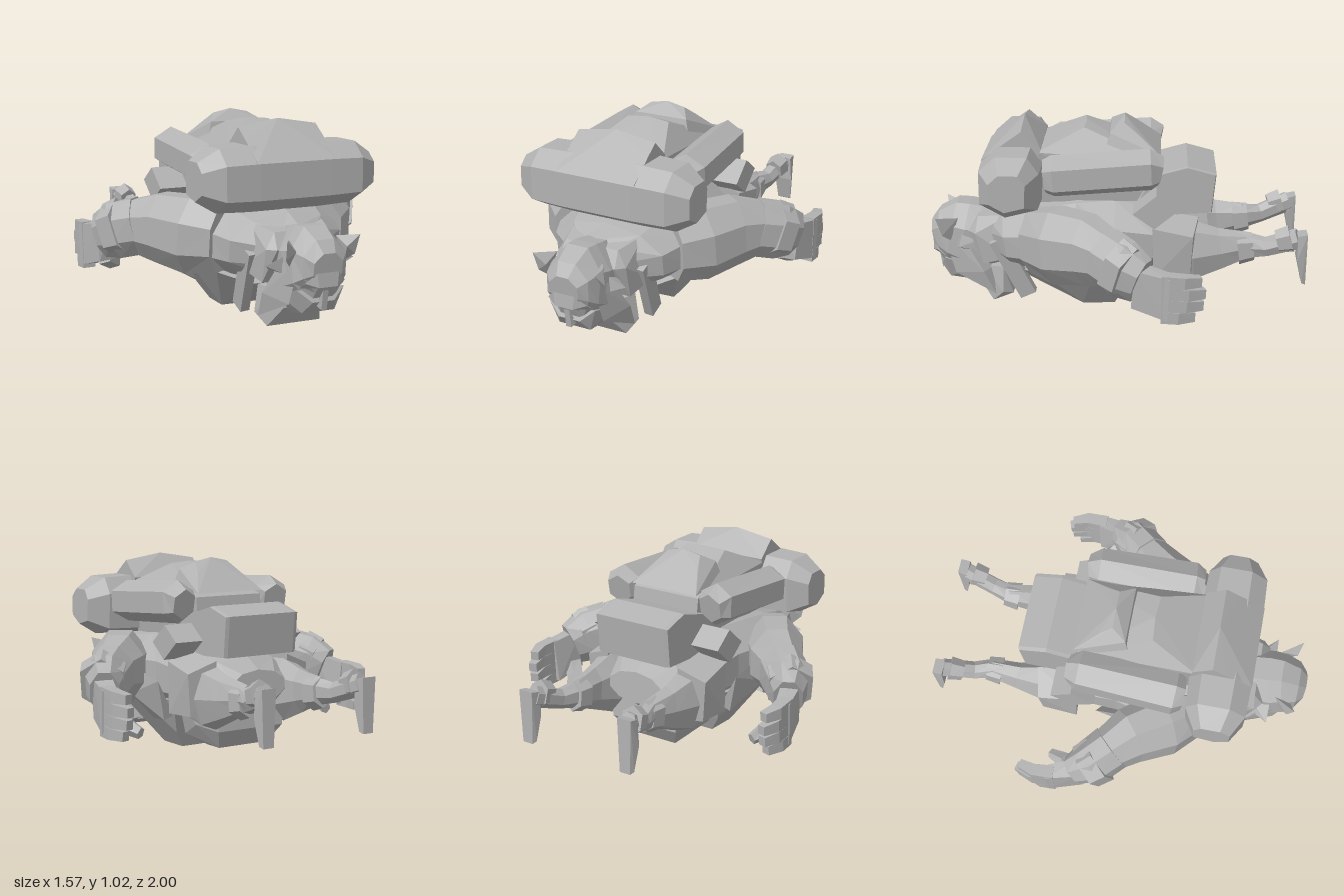
import * as THREE from 'three';
import { ConvexGeometry } from 'three/addons/geometries/ConvexGeometry.js';

const V = (a) => new THREE.Vector3(a[0], a[1], a[2]);

// Closed skin through rings of equal point count, wound outward
function skin(rings) {
  const n = rings[0].length, pos = [], idx = [];
  const mid = (r) => r.reduce((s, p) => s.add(p), new THREE.Vector3()).divideScalar(n);
  rings.forEach((r) => r.forEach((p) => pos.push(p)));
  const first = pos.length, last = first + 1, end = (rings.length - 1) * n;
  pos.push(mid(rings[0]), mid(rings[rings.length - 1]));
  for (let j = 0; j < n; j++) {
    const k = (j + 1) % n;
    for (let i = 0; i < rings.length - 1; i++) {
      const a = i * n + j, b = i * n + k;
      idx.push(a, b, b + n, a, b + n, a + n);
    }
    idx.push(first, k, j, last, end + j, end + k);
  }
  let vol = 0;
  for (let i = 0; i < idx.length; i += 3) {
    vol += pos[idx[i]].dot(pos[idx[i + 1]].clone().cross(pos[idx[i + 2]]));
  }
  if (vol < 0) idx.reverse();
  const g = new THREE.BufferGeometry().setFromPoints(pos);
  g.setIndex(idx);
  g.computeVertexNormals();
  return g;
}

// Loft along a path; each stop is [x, y, z, half width, half height]
function limb(stops, sides = 8) {
  const c = stops.map(V), ref = new THREE.Vector3(0, 1, 0);
  return skin(stops.map((s, i) => {
    const t = c[Math.min(i + 1, c.length - 1)].clone().sub(c[Math.max(i - 1, 0)]).normalize();
    const side = ref.clone().cross(t).normalize(), up = t.clone().cross(side);
    return Array.from({ length: sides }, (_, j) => {
      const a = ((j + 0.5) / sides) * Math.PI * 2;
      return c[i].clone().addScaledVector(side, Math.cos(a) * s[3] * 1.06)
        .addScaledVector(up, Math.sin(a) * s[4] * 1.06);
    });
  }));
}

// Convex block, and one whose points are mirrored across x
const solid = (pts) => new ConvexGeometry(pts.map(V));
const block = (pts) => solid(pts.flatMap((p) => [p, [-p[0], p[1], p[2]]]));

// Profile of [z, y] swept across x; stops are [x, scale]
const roll = (profile, stops, cz, cy) => skin(stops.map(([x, s]) =>
  profile.map(([z, y]) => new THREE.Vector3(x, cy + (y - cy) * s, cz + (z - cz) * s))));

export function createModel() {
  const model = new THREE.Group();
  const grey = new THREE.MeshStandardMaterial({ color: 0xb2b2b2 });
  grey.flatShading = true;
  grey.name = 'stone grey';
  const add = (name, geo, parent = model) => {
    const m = new THREE.Mesh(geo, grey);
    m.name = name;
    parent.add(m);
  };

  // Body, lying face down with the head toward +z
  add('torso', limb([
    [0, 0.37, 0.68, 0.15, 0.14], [0, 0.39, 0.57, 0.31, 0.17], [0, 0.41, 0.4, 0.38, 0.2],
    [0, 0.41, 0.2, 0.36, 0.23], [0, 0.41, 0, 0.31, 0.24], [0, 0.4, -0.2, 0.3, 0.2],
    [0, 0.39, -0.38, 0.27, 0.15], [0, 0.4, -0.5, 0.16, 0.08]], 10));
  add('belly', block([
    [0.16, 0.2, 0.52], [0.3, 0.25, 0.4], [0.16, 0.01, 0.17], [0.15, 0.01, 0],
    [0.2, 0.08, 0.2], [0.21, 0.1, -0.04], [0.33, 0.26, 0.1], [0.28, 0.3, -0.12]]));
  add('waistBlock', block([
    [0.18, 0.1, -0.08], [0.13, 0.06, -0.22], [0.15, 0.07, -0.36], [0.2, 0.17, -0.43],
    [0.22, 0.18, -0.25], [0.21, 0.3, -0.42], [0.22, 0.28, -0.08]]));

  // Head, crown forward and face turned down
  const head = new THREE.Group();
  head.name = 'head';
  model.add(head);
  add('skull', limb([
    [0, 0.34, 0.6, 0.12, 0.17], [0, 0.33, 0.72, 0.15, 0.2], [0, 0.34, 0.82, 0.155, 0.205],
    [0, 0.36, 0.89, 0.145, 0.19], [0, 0.365, 0.955, 0.12, 0.13], [0, 0.36, 0.99, 0.08, 0.075]], 8), head);
  add('jaw', block([[0.09, 0.13, 0.9], [0.07, 0.1, 0.76], [0.14, 0.2, 0.72], [0.13, 0.25, 0.92], [0.06, 0.19, 0.95]]), head);
  add('brow', block([[0.11, 0.29, 0.96], [0.12, 0.26, 0.92], [0.05, 0.27, 0.995], [0.06, 0.34, 0.99]]), head);
  add('nose', block([[0.015, 0.25, 0.97], [0.03, 0.17, 0.93], [0.015, 0.15, 0.955]]), head);
  add('beard', block([
    [0.15, 0.015, 0.66], [0.15, 0.06, 0.55], [0.19, 0.08, 0.6], [0.1, 0.12, 0.74], [0.17, 0.22, 0.6], [0.11, 0.2, 0.72]]), head);
  add('collar', block([
    [0.2, 0.42, 0.74], [0.2, 0.25, 0.7], [0.24, 0.3, 0.55], [0.15, 0.5, 0.73], [0.2, 0.53, 0.55], [0.16, 0.42, 0.78]]), head);

  // Bedroll across the shoulders
  add('bedroll', roll(
    [[0.69, 0.83], [0.69, 0.65], [0.555, 0.575], [0.38, 0.62], [0.37, 0.82], [0.43, 0.91], [0.6, 0.91]],
    [[-0.485, 0.58], [-0.38, 0.96], [-0.2, 1], [0, 1], [0.2, 1], [0.38, 0.96], [0.485, 0.58]], 0.53, 0.74));
  add('bedrollFlap', block([
    [0.22, 0.99, 0.48], [0, 1.025, 0.48], [0.22, 0.94, 0.55], [0, 0.96, 0.55], [0.22, 0.835, 0.692],
    [0.22, 0.9, 0.38], [0.22, 0.8, 0.4]]));

  // Pack with two humps
  add('pack', block([
    [0.19, 0.6, 0.4], [0.22, 0.88, 0.4], [0.18, 0.92, 0.3], [0.12, 0.99, 0.16], [0, 1, 0.15],
    [0.17, 0.9, 0.05], [0.2, 0.84, -0.22], [0.2, 0.62, -0.25]]));
  add('packHump', block([
    [0.18, 0.87, 0.05], [0.15, 0.97, 0.025], [0.1, 1.01, -0.05], [0, 1.03, -0.05], [0.13, 0.96, -0.12],
    [0.2, 0.86, -0.24]]));
  add('lowerBag', roll(
    [[-0.12, 0.62], [-0.21, 0.54], [-0.51, 0.56], [-0.53, 0.77], [-0.38, 0.81], [-0.2, 0.76]],
    [[-0.22, 0.97], [-0.2, 1], [0, 1], [0.2, 1], [0.22, 0.97]], -0.33, 0.66));

  // Paired parts, built on the left and mirrored
  for (const s of [1, -1]) {
    const half = new THREE.Group();
    half.name = s > 0 ? 'leftSide' : 'rightSide';
    model.add(half);
    const pair = (name, geo) => {
      const g = geo.index ? geo.toNonIndexed() : geo, p = g.attributes.position;
      if (s < 0) {
        g.scale(-1, 1, 1);
        const a = new THREE.Vector3(), b = new THREE.Vector3();
        for (let i = 0; i < p.count; i += 3) {
          a.fromBufferAttribute(p, i + 1);
          b.fromBufferAttribute(p, i + 2);
          p.setXYZ(i + 1, b.x, b.y, b.z);
          p.setXYZ(i + 2, a.x, a.y, a.z);
        }
      }
      g.computeVertexNormals();
      add(name, g, half);
    };

    // Side tubes of the pack, shoulder strap and head details
    pair('packTube', limb([[0.285, 0.81, -0.24, 0.07, 0.075], [0.29, 0.82, -0.19, 0.1, 0.105],
      [0.305, 0.785, 0.31, 0.11, 0.105], [0.305, 0.78, 0.355, 0.08, 0.085]], 6));
    pair('shoulderStrap', new THREE.BoxGeometry(0.05, 0.36, 0.09).rotateX(0.45).rotateZ(-0.1).translate(0.21, 0.24, 0.54));
    pair('ear', solid([[0.14, 0.4, 0.82], [0.14, 0.31, 0.82], [0.15, 0.36, 0.74], [0.245, 0.36, 0.82], [0.2, 0.33, 0.76]]));
    pair('hairTuft', solid([[0.13, 0.48, 0.84], [0.2, 0.5, 0.95], [0.15, 0.36, 0.88], [0.14, 0.44, 0.93], [0.19, 0.4, 0.92]]));
    pair('cheekGuard', solid([[0.12, 0.4, 0.93], [0.16, 0.36, 0.8], [0.2, 0.2, 0.7], [0.19, 0.07, 0.64], [0.14, 0.17, 0.86], [0.12, 0.2, 0.66]]));

    // Arm
    pair('upperArm', limb([[0.28, 0.42, 0.42, 0.12, 0.17], [0.37, 0.43, 0.28, 0.16, 0.2],
      [0.48, 0.45, 0.11, 0.14, 0.18], [0.58, 0.45, 0.01, 0.11, 0.14]], 8));
    pair('forearm', limb([[0.56, 0.45, 0.03, 0.12, 0.15], [0.65, 0.42, -0.06, 0.115, 0.15],
      [0.7, 0.38, -0.15, 0.075, 0.12]], 8));
    pair('cuff', limb([[0.63, 0.44, -0.02, 0.125, 0.15], [0.68, 0.41, -0.09, 0.12, 0.14]], 6));
    pair('palm', solid([[0.65, 0.47, -0.12], [0.75, 0.45, -0.12], [0.65, 0.25, -0.12], [0.74, 0.25, -0.1],
      [0.785, 0.42, -0.29], [0.71, 0.43, -0.29], [0.785, 0.2, -0.28], [0.69, 0.2, -0.28]]));
    for (let f = 0; f < 4; f++) {
      const y = 0.405 - f * 0.062, reach = [0, 0.02, 0.01, -0.03][f];
      pair('finger', limb([[0.745, y, -0.25, 0.046, 0.042], [0.75, y - 0.005, -0.36 - reach, 0.042, 0.04],
        [0.725, y - 0.01, -0.44 - reach, 0.03, 0.032]], 4));
    }
    pair('thumb', limb([[0.7, 0.27, -0.15, 0.05, 0.05], [0.62, 0.22, -0.22, 0.045, 0.045],
      [0.585, 0.19, -0.31, 0.025, 0.03]], 5));

    // Leg stretched back, with the foot hanging down
    pair('leg', limb([[0.22, 0.36, -0.24, 0.11, 0.14], [0.235, 0.35, -0.42, 0.095, 0.16],
      [0.235, 0.365, -0.56, 0.065, 0.11], [0.225, 0.385, -0.7, 0.05, 0.07], [0.255, 0.39, -0.8, 0.045, 0.05],
      [0.29, 0.45, -0.96, 0.045, 0.055]], 7));
    pair('bootCuff', limb([[0.225, 0.37, -0.65, 0.07, 0.09], [0.225, 0.38, -0.73, 0.06, 0.075]], 6));
    pair('anklePlate', limb([[0.28, 0.43, -0.85, 0.05, 0.06], [0.285, 0.45, -0.92, 0.06, 0.07]], 6));
    pair('foot', solid([[0.25, 0.48, -0.95], [0.34, 0.48, -0.95], [0.26, 0.49, -1], [0.34, 0.49, -1],
      [0.25, 0.35, -0.95], [0.35, 0.35, -0.95], [0.26, 0.22, -0.98], [0.34, 0.22, -0.98], [0.27, 0.21, -1], [0.33, 0.21, -1]]));

    // Hip plate, pouch and flank
    pair('hipPlate', solid([[0.2, 0.57, -0.2], [0.36, 0.52, -0.2], [0.22, 0.54, -0.44], [0.37, 0.48, -0.41],
      [0.36, 0.25, -0.21], [0.35, 0.26, -0.4], [0.22, 0.24, -0.22], [0.22, 0.25, -0.42]]));
    pair('hipPouch', solid([0.23, 0.39].flatMap((x) => [
      [x, 0.61, -0.1], [x, 0.53, -0.21], [x, 0.63, -0.33], [x, 0.71, -0.22]])));
    pair('flankPlate', solid([[0.3, 0.3, 0.2], [0.38, 0.3, 0.15], [0.26, 0.16, 0.12], [0.3, 0.18, -0.06],
      [0.36, 0.4, -0.1], [0.37, 0.45, 0.15], [0.24, 0.2, -0.06]]));
  }
  return model;
}
